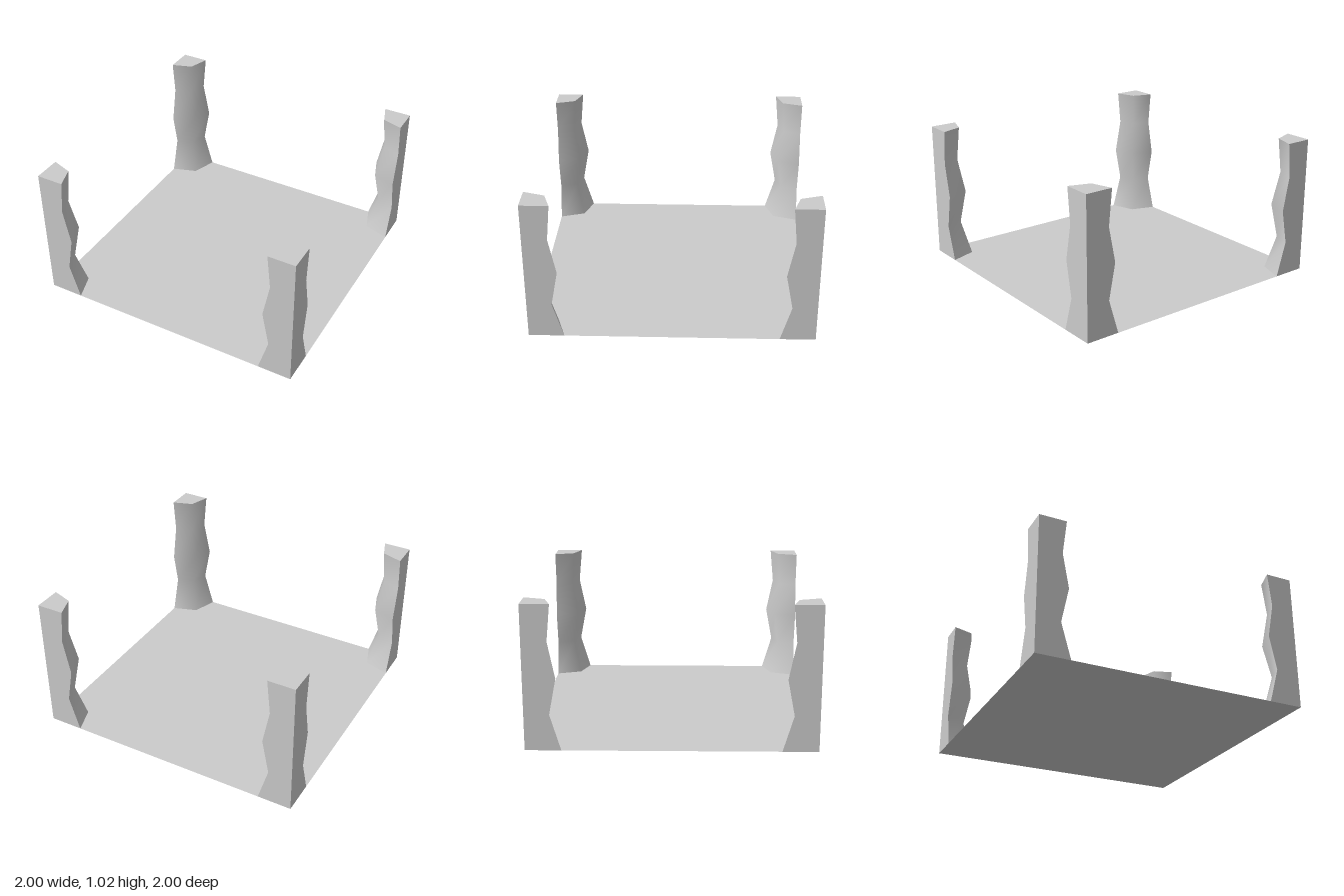
import * as THREE from 'three';
import { mergeGeometries } from 'three/addons/utils/BufferGeometryUtils.js';

// Surface through rows of points, smooth within itself
function strip(rows) {
  const n = rows[0].length, index = [];
  for (let j = 0; j < rows.length - 1; j++) {
    for (let i = 0; i < n - 1; i++) {
      const a = j * n + i, b = a + 1, c = a + n, d = c + 1;
      index.push(a, b, d, a, d, c);
    }
  }
  const geo = new THREE.BufferGeometry();
  geo.setAttribute('position', new THREE.Float32BufferAttribute(rows.flat(2), 3));
  geo.setIndex(index);
  geo.computeVertexNormals();
  return geo;
}

// Corner post at +x +z: flat outer walls, wavy inner face
function postGeometry() {
  const profile = [[0, 0.25], [0.255, 0.175], [0.51, 0.225], [0.765, 0.175], [1.02, 0.2]];
  const levels = profile.map(([y, r]) => ({
    corner: [1, y, 1],
    onX: [1, y, 1 - r],
    inner: [1 - 0.75 * r, y, 1 - 0.75 * r],
    onZ: [1 - r, y, 1],
  }));
  const rows = (...keys) => levels.map((l) => keys.map((k) => l[k]));
  const top = levels[levels.length - 1];
  return mergeGeometries([
    strip(rows('onX', 'inner', 'onZ')),
    strip(rows('onZ', 'corner')),
    strip(rows('corner', 'onX')),
    strip([[top.onZ, top.corner], [top.inner, top.onX]]),
  ]);
}

export function createModel() {
  const group = new THREE.Group();
  const material = new THREE.MeshStandardMaterial({ color: 0xcccccc });

  // Thin square floor
  const floor = new THREE.Mesh(
    new THREE.PlaneGeometry(2, 2).rotateX(-Math.PI / 2),
    new THREE.MeshStandardMaterial({ color: 0xcccccc, side: THREE.DoubleSide }),
  );
  floor.name = 'floor';
  group.add(floor);

  // Four posts, turned about the centre
  const geo = postGeometry();
  ['frontLeftPost', 'backLeftPost', 'backRightPost', 'frontRightPost'].forEach((name, i) => {
    const post = new THREE.Mesh(geo, material);
    post.name = name;
    post.rotation.y = (i * Math.PI) / 2;
    group.add(post);
  });
  return group;
}
